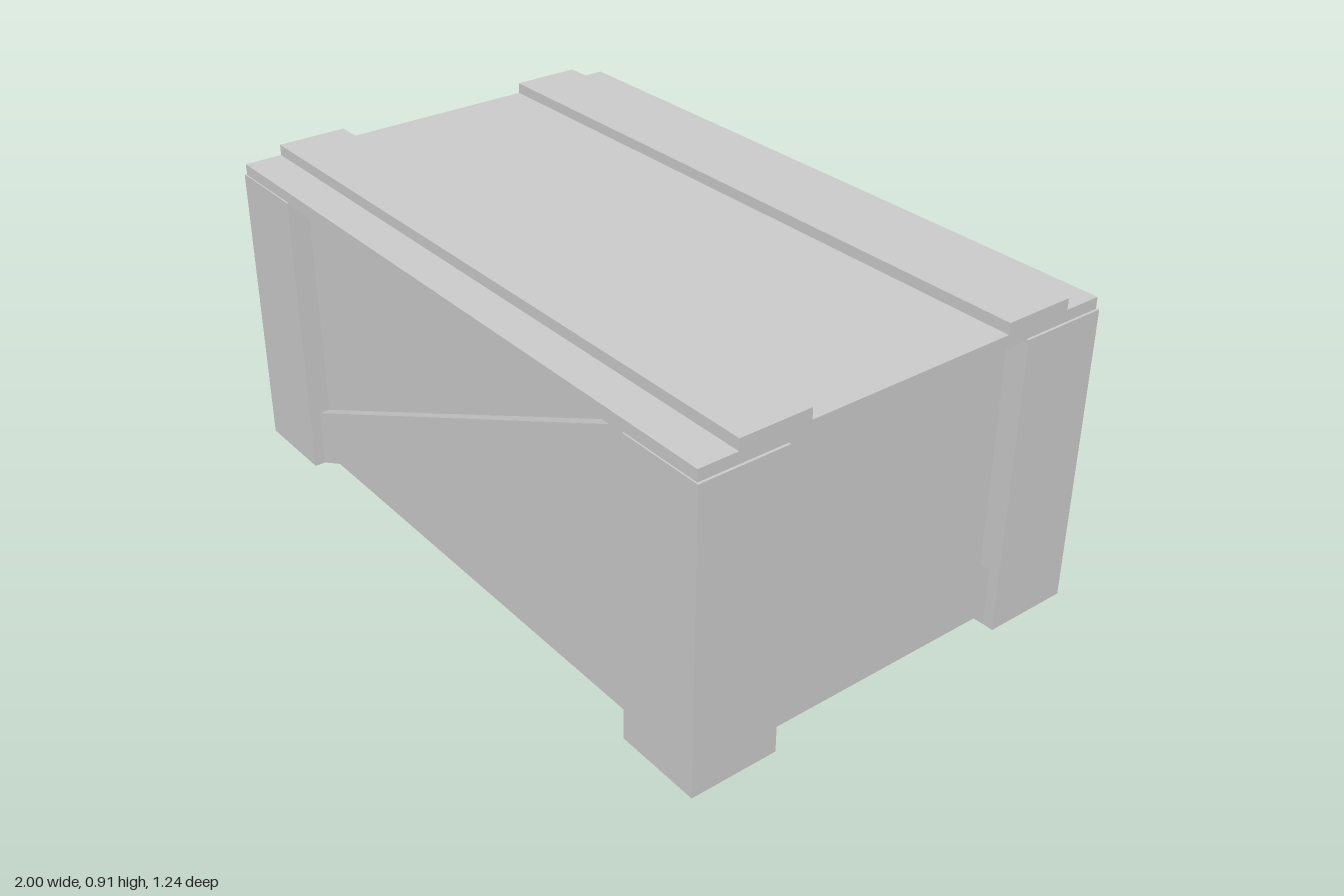
import * as THREE from 'three';

const HX = 1, HZ = 0.622;          // half width and half depth at the posts
const POST = 0.252, POST_H = 0.843;
const RECESS = 0.062, BRACE = 0.031; // wall inset and brace thickness
const LID_Y = 0.838, LID_TOP = 0.875, SLAT_TOP = 0.906;

export function createModel() {
  const crate = new THREE.Group();
  crate.name = 'crate';
  const material = new THREE.MeshStandardMaterial({ color: 0xcccccc, flatShading: true });

  const add = (name, geometry, x = 0, y = 0, z = 0) => {
    const mesh = new THREE.Mesh(geometry, material);
    mesh.name = name;
    mesh.position.set(x, y, z);
    crate.add(mesh);
  };
  // Box given by its size, bottom height and centre
  const board = (name, w, h, d, x, y, z) =>
    add(name, new THREE.BoxGeometry(w, h, d), x, y + h / 2, z);

  // Diagonal plank filling a panel of the given half width, cut vertically
  // at the posts and trimmed under the lid
  const braceGeometry = (half) => {
    const low = 0.17, high = 0.68;
    const trim = half - (2 * half * (low + high - LID_Y)) / high;
    const shape = new THREE.Shape([
      new THREE.Vector2(-half, 0),
      new THREE.Vector2(half, high),
      new THREE.Vector2(half, LID_Y),
      new THREE.Vector2(trim, LID_Y),
      new THREE.Vector2(-half, low),
    ]);
    return new THREE.ExtrudeGeometry(shape, { depth: BRACE, bevelEnabled: false })
      .translate(0, 0, -BRACE / 2);
  };

  // Recessed body
  board('body', 2 * (HX - RECESS), LID_Y, 2 * (HZ - RECESS), 0, 0, 0);

  // Corner posts
  for (const sx of [-1, 1]) {
    for (const sz of [-1, 1]) {
      board('cornerPost', POST, POST_H, POST, sx * (HX - POST / 2), 0, sz * (HZ - POST / 2));
    }
  }

  // Diagonal braces on all four walls
  const longBrace = braceGeometry(HX - POST);
  const shortBrace = braceGeometry(HZ - POST).rotateY(-Math.PI / 2);
  const offset = RECESS - BRACE / 2;
  for (const s of [-1, 1]) {
    add(s > 0 ? 'frontBrace' : 'backBrace', longBrace, 0, 0, s * (HZ - offset));
    add(s > 0 ? 'leftBrace' : 'rightBrace', shortBrace, s * (HX - offset), 0, 0);
  }

  // Lid with two raised slats
  const lidW = 2 * (HX - 0.007);
  board('lid', lidW, LID_TOP - LID_Y, 2 * (HZ - 0.004), 0, LID_Y, 0);
  for (const s of [-1, 1]) {
    board('lidSlat', lidW, SLAT_TOP - LID_TOP, 0.203, 0, LID_TOP, s * 0.407);
  }

  return crate;
}
